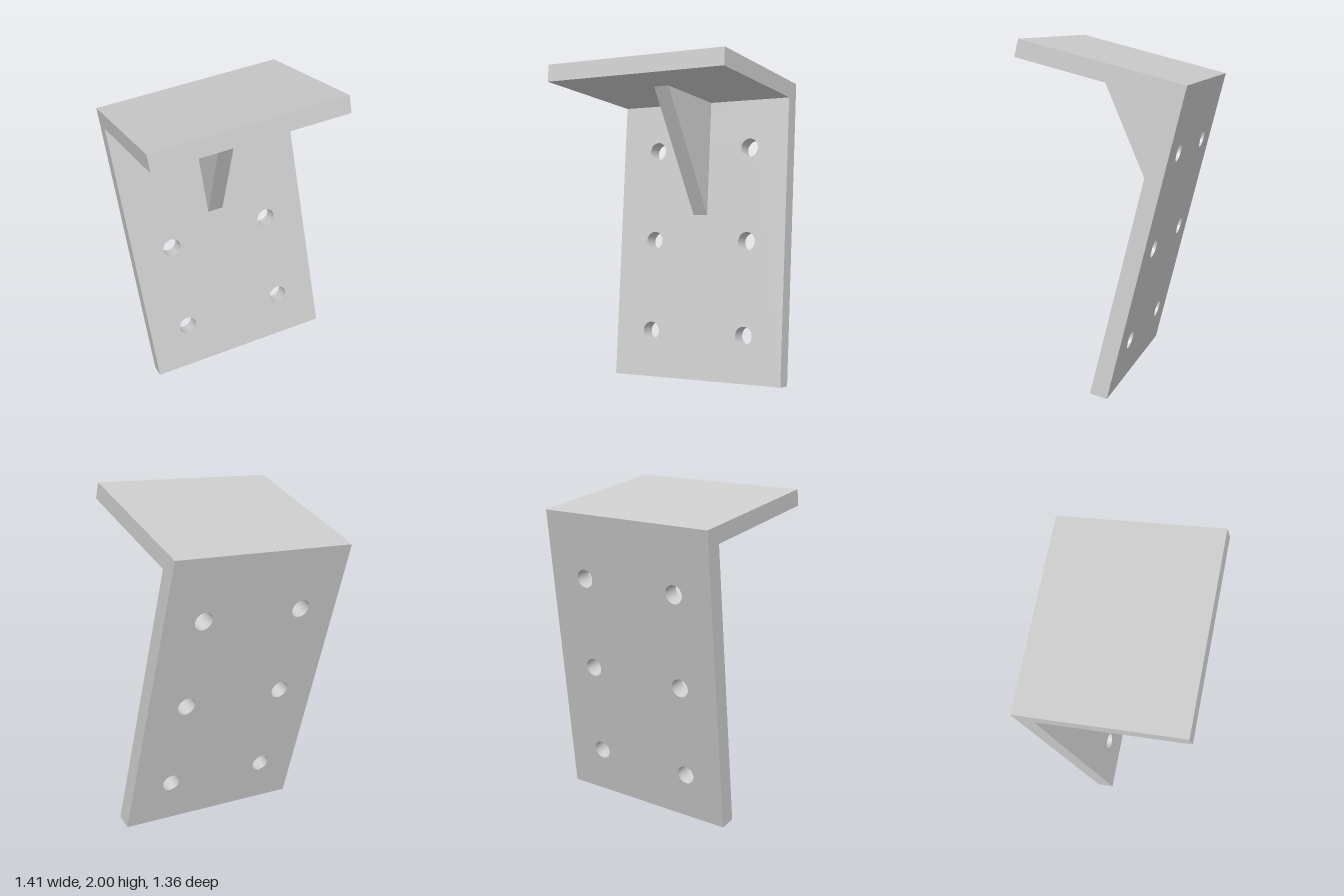
import * as THREE from 'three';

const W = 1.105, H = 1.755, D = 0.925, T = 0.097; // width, height, depth, plate thickness

export function createModel() {
  const model = new THREE.Group();
  model.name = 'angleBracket';
  const material = new THREE.MeshStandardMaterial({ color: 0xcccccc, flatShading: true });
  const bracket = new THREE.Group();
  bracket.name = 'bracket';
  model.add(bracket);

  const add = (name, geometry) => {
    const mesh = new THREE.Mesh(geometry, material);
    mesh.name = name;
    bracket.add(mesh);
    return mesh;
  };

  // Upright plate with two columns of three bolt holes
  const plate = new THREE.Shape([
    new THREE.Vector2(-W / 2, 0), new THREE.Vector2(W / 2, 0),
    new THREE.Vector2(W / 2, H), new THREE.Vector2(-W / 2, H),
  ]);
  for (const x of [-0.311, 0.311]) {
    for (const y of [0.275, 0.825, 1.375]) {
      plate.holes.push(new THREE.Path().absarc(x, y, 0.054, 0, Math.PI * 2, true));
    }
  }
  add('backPlate', new THREE.ExtrudeGeometry(plate, { depth: T, bevelEnabled: false, curveSegments: 32 }));

  // Shelf plate butted against the top of the upright
  add('topPlate', new THREE.BoxGeometry(W, T, D - T)).position.set(0, H - T / 2, (D + T) / 2);

  // Triangular gusset in the inner corner
  const gussetWidth = 0.092, reach = 0.514;
  const triangle = new THREE.Shape([
    new THREE.Vector2(-T, 0.98), new THREE.Vector2(-T, H - T), new THREE.Vector2(-T - reach, H - T),
  ]);
  const gusset = new THREE.ExtrudeGeometry(triangle, { depth: gussetWidth, bevelEnabled: false });
  gusset.translate(0, 0, -gussetWidth / 2).rotateY(Math.PI / 2);
  add('gusset', gusset);

  // Tilt the whole bracket: width, height and depth directions
  const across = new THREE.Vector3(0.86, 0.082, -0.502).normalize();
  const up = new THREE.Vector3(-0.1805, 0.972, -0.15);
  up.addScaledVector(across, -up.dot(across)).normalize();
  const out = new THREE.Vector3().crossVectors(across, up);
  bracket.quaternion.setFromRotationMatrix(new THREE.Matrix4().makeBasis(across, up, out));
  bracket.position.set(0.089, 0.0455, -0.138);
  return model;
}
